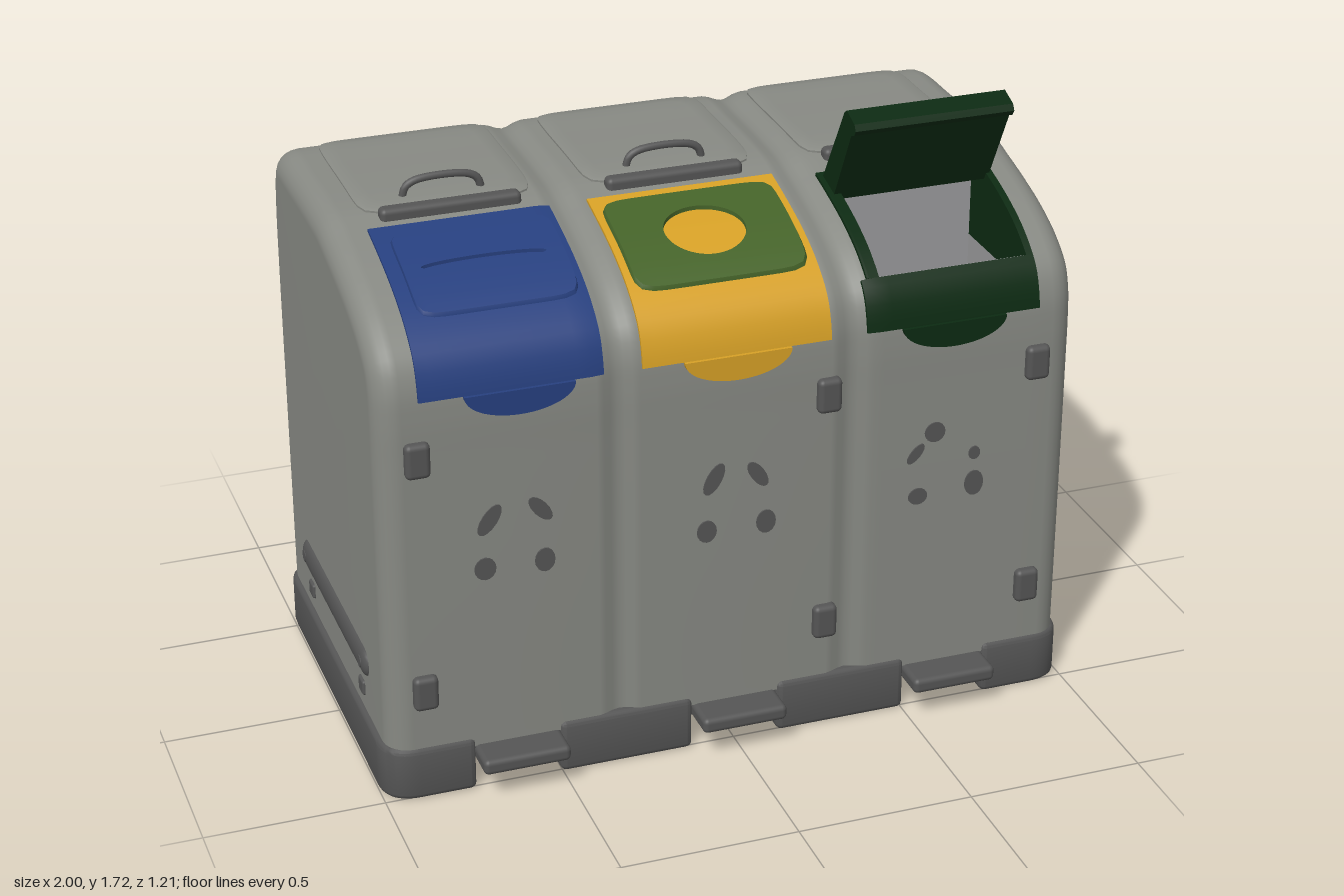
import * as THREE from 'three';
import { toCreasedNormals } from 'three/addons/utils/BufferGeometryUtils.js';
import { RoundedBoxGeometry } from 'three/addons/geometries/RoundedBoxGeometry.js';

const mat = (name, color) => Object.assign(new THREE.MeshStandardMaterial({ color }), { name });

export function createModel() {
  const root = new THREE.Group();
  root.name = 'recyclingStation';
  const shell = mat('shellGrey', 0x878983);
  const dark = mat('darkGrey', 0x555555);
  const liner = mat('linerGrey', 0x9a9a9c);
  const blue = mat('blue', 0x27407f);
  const yellow = mat('yellow', 0xd6a026);
  const olive = mat('oliveGreen', 0x456329);
  const green = mat('darkGreen', 0x0c2a12);

  const add = (name, geo, material, x = 0, y = 0, z = 0) => {
    const m = new THREE.Mesh(geo, material);
    m.name = name;
    m.position.set(x, y, z);
    root.add(m);
    return m;
  };

  // Side profile (z, y): up the front, over the curved top, down the back
  const curve = new THREE.CatmullRomCurve3([
    [0.505, 0.13], [0.507, 0.6], [0.507, 1.0], [0.506, 1.13], [0.498, 1.215], [0.468, 1.29], [0.39, 1.357],
    [0.28, 1.41], [0.14, 1.453], [0.05, 1.475], [-0.03, 1.494], [-0.155, 1.502], [-0.35, 1.503], [-0.5, 1.501],
    [-0.545, 1.485], [-0.575, 1.43], [-0.592, 1.32], [-0.597, 1.15], [-0.595, 0.6], [-0.592, 0.13],
  ].map(([z, y]) => new THREE.Vector3(0, y, z)), false, 'centripetal');
  const P = curve.getSpacedPoints(150);
  const N = P.map((_, i) => {
    const t = P[Math.min(i + 1, 150)].clone().sub(P[Math.max(i - 1, 0)]).normalize();
    return new THREE.Vector3(0, -t.z, t.y);
  });
  const at = (z, y) => {
    let best = 0;
    P.forEach((p, i) => {
      if (Math.hypot(p.z - z, p.y - y) < Math.hypot(P[best].z - z, P[best].y - y)) best = i;
    });
    return best;
  };
  const topY = z => {
    const i = P.findIndex(p => p.y > 1 && p.z <= z);
    const a = P[i - 1], b = P[i];
    return a.y + (b.y - a.y) * (a.z - z) / (a.z - b.z);
  };

  // Rounded ends and the two shallow grooves between the bins
  const HALF = 0.985, R = 0.07;
  const inset = x => {
    const d = Math.max(0, HALF - Math.abs(x));
    const end = d < R ? R - Math.sqrt(Math.max(0, R * R - (R - d) ** 2)) : 0;
    const g = Math.max(0, 1 - Math.abs(Math.abs(x) - 0.33) / 0.06);
    return end + 0.018 * g * g * (3 - 2 * g);
  };
  const surface = (i, x, off = 0) => {
    const k = off - inset(x);
    return [x, P[i].y + N[i].y * k, P[i].z + N[i].z * k];
  };

  const grid = (rows, cols, fn, skip = () => false) => {
    const pos = [], idx = [];
    for (let i = 0; i < rows; i++) for (let j = 0; j < cols; j++) pos.push(...fn(i, j));
    for (let i = 0; i < rows - 1; i++) for (let j = 0; j < cols - 1; j++) {
      if (skip(i, j)) continue;
      const a = i * cols + j, c = a + cols;
      idx.push(a, a + 1, c, a + 1, c + 1, c);
    }
    return { pos, idx };
  };
  const build = ({ pos, idx }) => {
    const g = new THREE.BufferGeometry();
    g.setAttribute('position', new THREE.Float32BufferAttribute(pos, 3));
    g.setIndex(idx);
    g.computeVertexNormals();
    return g;
  };

  // Main shell, with the opening of the third bin left out
  const OX0 = 0.42, OX1 = 0.85, iFront = at(0.45, 1.31), iBack = at(0.08, 1.468);
  const xs = [0, -0.63, 0.63, OX0, OX1];
  for (const s of [-1, 1]) {
    for (let a = 0; a <= 6; a++) xs.push(s * (HALF - R * (1 - Math.cos(a * Math.PI / 12))));
    for (let k = -3; k <= 3; k++) xs.push(s * (0.33 + k * 0.02));
  }
  xs.sort((a, b) => a - b);
  const body = grid(P.length, xs.length, (i, j) => surface(i, xs[j]),
    (i, j) => i >= iFront && i < iBack && xs[j] >= OX0 && xs[j + 1] <= OX1);
  for (const [j, x] of [[0, -HALF], [xs.length - 1, HALF]]) {
    const c = body.pos.length / 3;
    body.pos.push(x, 0.8, -0.05);
    for (let i = 0; i < P.length; i++) {
      const a = i * xs.length + j, b = ((i + 1) % P.length) * xs.length + j;
      body.idx.push(...(x > 0 ? [c, b, a] : [c, a, b]));
    }
  }
  add('shell', build(body), shell);

  // Thin plate that follows the shell
  const patch = (name, x0, x1, i0, i1, off, material) => {
    const n = 14, rows = i1 - i0 + 3;
    add(name, toCreasedNormals(build(grid(rows, n + 3, (r, c) => {
      const edge = r === 0 || r === rows - 1 || c === 0 || c === n + 2;
      const i = i0 + Math.min(Math.max(r - 1, 0), i1 - i0);
      const x = x0 + (x1 - x0) * Math.min(Math.max(c - 1, 0), n) / n;
      return surface(i, x, edge ? -0.01 : off);
    })), 0.6), material);
  };

  // Raised rounded panel on the top with an oval hole
  const panel = (name, cx, cz, a, b, hx, hz, off, low, material) => {
    const rings = [[0, -0.006], [0, off * 0.6], [0.03, off], [0.2, off], [0.4, off], [0.6, off], [0.8, off], [1, off], [1, low]];
    add(name, toCreasedNormals(build(grid(rings.length, 65, (k, j) => {
      const t = j * Math.PI / 32, c = Math.cos(t), s = Math.sin(t);
      const q = (Math.abs(c) ** 10 + Math.abs(s) ** 10) ** -0.1, [m, h] = rings[k];
      const x = cx + c * (a * q * (1 - m) + hx * m);
      const z = cz - s * (b * q * (1 - m) + hz * m);
      return [x, topY(z) + h - inset(x), z];
    })), 0.6), material);
  };

  // Extrudes a (z, y) outline along x
  const extrudeX = (pts, x0, x1) => {
    const s = new THREE.Shape(pts.map(([z, y]) => new THREE.Vector2(-z, y)));
    return new THREE.ExtrudeGeometry(s, { depth: x1 - x0, bevelEnabled: false }).rotateY(Math.PI / 2).translate(x0, 0, 0);
  };

  // Coloured fronts of the three bins
  const iLow = at(0.503, 1.175), iTop = at(0.055, 1.474);
  patch('blueFlap', -0.87, -0.37, iLow, iTop, 0.008, blue);
  panel('blueSlotPanel', -0.61, 0.245, 0.22, 0.15, 0.17, 0.018, 0.018, 0.008, blue);
  patch('yellowFlap', -0.265, 0.265, iLow, iTop, 0.008, yellow);
  panel('oliveHolePanel', 0, 0.25, 0.245, 0.16, 0.113, 0.09, 0.02, 0.008, olive);
  patch('greenFrontBand', 0.37, 0.87, iLow, iFront, 0.008, green);
  patch('greenFrameLeft', 0.385, OX0, iFront, iBack, 0.008, green);
  patch('greenFrameRight', OX1, 0.87, iFront, iBack, 0.008, green);

  // Pull lips under the flaps
  for (const [name, x, m] of [['blueLip', -0.6, blue], ['yellowLip', 0, yellow], ['greenLip', 0.62, green]]) {
    const s = new THREE.Shape().absellipse(0, 0, 0.15, 0.07, Math.PI, 2 * Math.PI, false);
    add(name, new THREE.ExtrudeGeometry(s, { depth: 0.02, bevelEnabled: false, curveSegments: 20 }), m, x, 1.185, 0.498);
  }

  // Inside of the open bin
  const rim = P.slice(iFront, iBack + 1).map(p => [p.z, p.y]);
  for (const [x0, x1] of [[OX0 - 0.015, OX0], [OX1, OX1 + 0.015]]) {
    add('cheek', extrudeX([...rim, [P[iBack].z, 1.22], [P[iFront].z, 1.22]], x0, x1), green);
    add('linerSide', new THREE.BoxGeometry(0.015, 0.2, 0.4), liner, (x0 + x1) / 2, 1.13, 0.26);
  }
  const mid = (OX0 + OX1) / 2, zf = P[iFront].z, zb = P[iBack].z;
  add('linerFront', new THREE.BoxGeometry(0.44, 0.26, 0.015), liner, mid, P[iFront].y - 0.13, zf);
  add('linerBack', new THREE.BoxGeometry(0.44, 0.42, 0.015), liner, mid, P[iBack].y - 0.21, zb);
  add('linerFloor', new THREE.BoxGeometry(0.44, 0.015, zf - zb), liner, mid, 1.05, (zf + zb) / 2);

  // Raised lid of the third bin
  add('openLid', extrudeX([[0.08, 1.45], [0.235, 1.712], [0.25, 1.722], [0.305, 1.702], [0.315, 1.685],
    [0.305, 1.67], [0.285, 1.662], [0.165, 1.43]], 0.4, 0.86), green);

  // Rear hatches, hinge covers and handles
  for (const x of [-0.63, 0, 0.63]) {
    panel('rearHatch', x, -0.27, 0.24, 0.255, 0.01, 0.01, 0.009, 0.009, shell);
    add('hingeCover', new RoundedBoxGeometry(0.39, 0.045, 0.045, 3, 0.015), dark, x, 1.492, 0);
    const path = new THREE.CatmullRomCurve3([[-0.11, 1.5], [-0.1, 1.53], [-0.07, 1.547], [0.07, 1.547], [0.1, 1.53], [0.11, 1.5]]
      .map(([u, y]) => new THREE.Vector3(u, y, 0)), false, 'centripetal');
    add('hatchHandle', new THREE.TubeGeometry(path, 24, 0.011, 8), dark, x, 0, -0.08);
  }

  // Front latches
  for (const x of [-0.88, 0.26, 0.87]) for (const y of [0.33, 1.025]) {
    add('latch', new RoundedBoxGeometry(0.068, 0.1, 0.045, 3, 0.015), dark, x, y, 0.508);
  }

  // Painted marks on the front: x, y, half width, half height, tilt
  for (const [x, y, a, b, t] of [
    [-0.69, 0.815, 0.022, 0.05, -0.6], [-0.55, 0.825, 0.02, 0.045, 0.7], [-0.705, 0.672, 0.03, 0.033, 0], [-0.54, 0.67, 0.028, 0.035, 0],
    [-0.065, 0.825, 0.022, 0.05, -0.5], [0.06, 0.82, 0.02, 0.045, 0.6], [-0.085, 0.67, 0.028, 0.033, 0], [0.085, 0.672, 0.028, 0.035, 0],
    [0.575, 0.858, 0.03, 0.03, 0], [0.52, 0.8, 0.015, 0.035, -0.7], [0.695, 0.775, 0.017, 0.02, 0],
    [0.53, 0.668, 0.028, 0.025, 0], [0.697, 0.682, 0.028, 0.038, 0]]) {
    const g = new THREE.CylinderGeometry(1, 1, 0.006, 16).rotateX(Math.PI / 2).scale(a, b, 1).rotateZ(t);
    add('frontMark', g, dark, x, y, 0.508);
  }

  // Side rails with end bolts and drain plugs
  for (const s of [-1, 1]) {
    add('sideRail', new THREE.CapsuleGeometry(0.043, 0.63, 6, 16).rotateX(Math.PI / 2).scale(0.45, 1, 1), dark, s * 0.981, 0.315, -0.04);
    for (const z of [0.27, -0.35]) {
      add('railBolt', new THREE.CylinderGeometry(0.018, 0.018, 0.01, 12).rotateZ(Math.PI / 2), dark, s * 0.996, 0.315, z);
    }
    for (const z of [0.24, -0.32]) add('sidePlug', new RoundedBoxGeometry(0.02, 0.045, 0.05, 2, 0.008), dark, s * 0.983, 0.22, z);
  }

  // Round vent at the back
  add('rearVent', new THREE.CylinderGeometry(0.085, 0.085, 0.01, 32).rotateX(Math.PI / 2), shell, 0, 1.14, -0.598);
  add('rearVentRing', new THREE.TorusGeometry(0.085, 0.006, 8, 32), shell, 0, 1.14, -0.601);
  for (const y of [-0.03, 0.03]) add('rearVentSlot', new THREE.BoxGeometry(0.11, 0.012, 0.006), dark, 0, 1.14 + y, -0.602);

  // Base blocks with rounded outer corners
  const Z0 = -0.6, Z1 = 0.515, B = 0.015;
  const block = (x0, x1, rl, rr) => {
    const s = new THREE.Shape(), lo = -Z1, hi = -Z0;
    s.moveTo(x0 + rl, lo).lineTo(x1 - rr, lo).quadraticCurveTo(x1, lo, x1, lo + rr);
    s.lineTo(x1, hi - rr).quadraticCurveTo(x1, hi, x1 - rr, hi);
    s.lineTo(x0 + rl, hi).quadraticCurveTo(x0, hi, x0, hi - rl);
    s.lineTo(x0, lo + rl).quadraticCurveTo(x0, lo, x0 + rl, lo);
    const g = new THREE.ExtrudeGeometry(s, { depth: 0.155 - 2 * B, bevelThickness: B, bevelSize: B, bevelOffset: -B, bevelSegments: 3 });
    add('baseBlock', toCreasedNormals(g.rotateX(-Math.PI / 2).translate(0, B, 0), 0.6), dark);
  };
  block(-1, -0.745, 0.1, 0.02);
  block(-0.505, -0.125, 0.02, 0.02);
  block(0.125, 0.505, 0.02, 0.02);
  block(0.745, 1, 0.02, 0.1);

  // Arched floor between the blocks, and the foot pedals
  for (const x of [-0.625, 0, 0.625]) {
    add('baseChannel', extrudeX([[0.49, 0.14], [-0.57, 0.14], [-0.57, 0.1], [-0.4, 0.06], [-0.2, 0.025], [0.1, 0.025],
      [0.3, 0.06], [0.49, 0.09]], x - 0.135, x + 0.135), dark);
    add('pedal', new RoundedBoxGeometry(0.245, 0.045, 0.14, 3, 0.015), dark, x, 0.11, 0.53);
  }
  return root;
}
